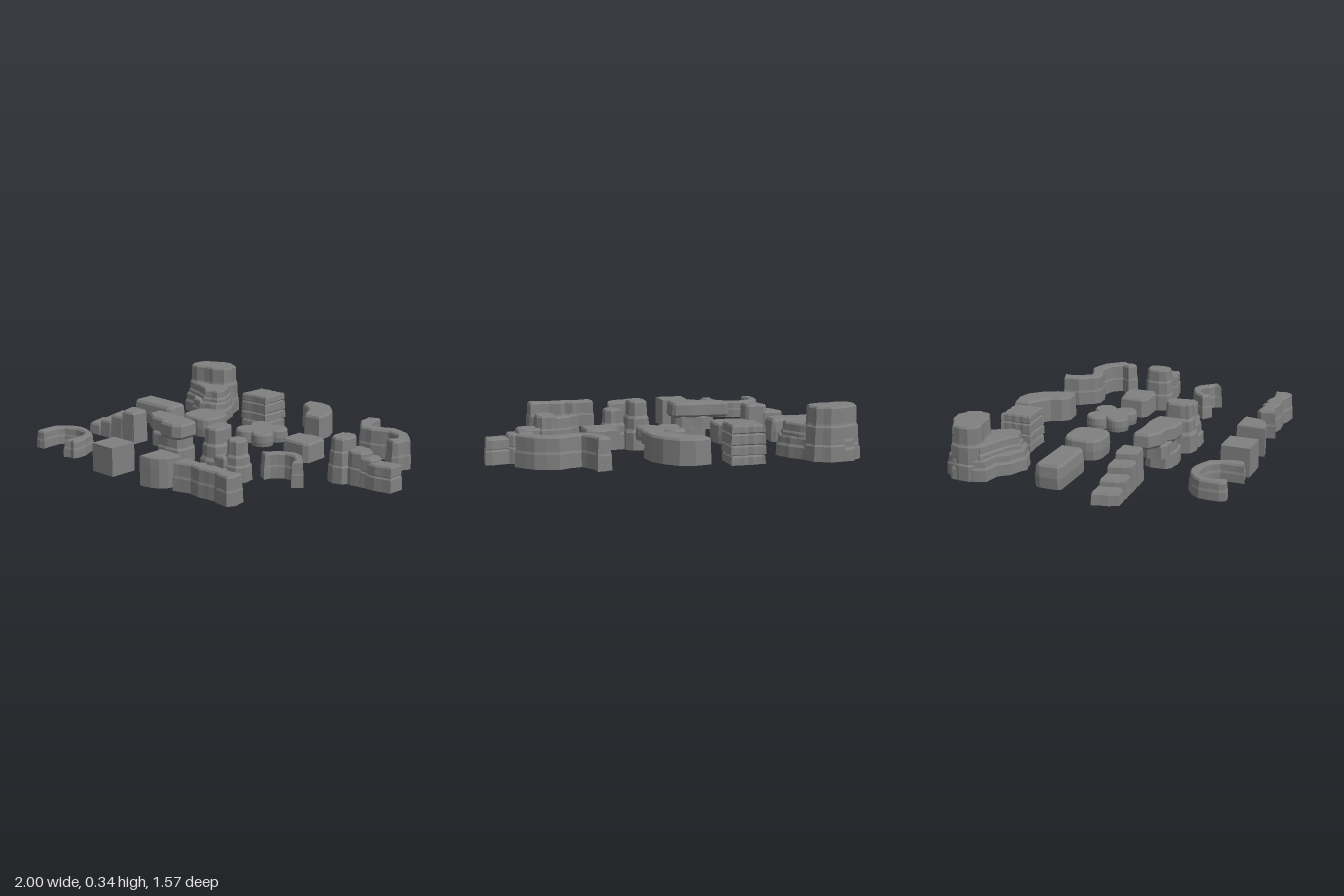
import * as THREE from 'three';

const material = new THREE.MeshStandardMaterial({ color: 0x808080, flatShading: true });

// Small seeded noise, 0..1
let seed = 7;
const rnd = () => (seed = (seed * 16807) % 2147483647) / 2147483647;

// Outline helpers: every outline is a list of [x, z]
const box = (x0, x1, z0, z1) => [[x0, z0], [x1, z0], [x1, z1], [x0, z1]];

const blob = (cx, cz, rx, rz, n = 12, power = 0.75, turn = 0.2) => {
  const bend = v => Math.sign(v) * Math.abs(v) ** power;
  return Array.from({ length: n }, (_, i) => {
    const a = (i / n) * Math.PI * 2 + turn;
    return [cx + rx * bend(Math.cos(a)), cz + rz * bend(Math.sin(a))];
  });
};

// Strip of constant half-width along a curved centre line
const ribbon = (line, half, n = 14) => {
  const curve = new THREE.CatmullRomCurve3(line.map(([x, z]) => new THREE.Vector3(x, 0, z)));
  const a = [], b = [];
  for (let i = 0; i <= n; i++) {
    const p = curve.getPointAt(i / n), t = curve.getTangentAt(i / n);
    a.push([p.x + t.z * half, p.z - t.x * half]);
    b.unshift([p.x - t.z * half, p.z + t.x * half]);
  }
  return [...a, ...b];
};

// Split the edges and push some points inward to make upright ribs
const roughen = (pts, step, depth) => {
  const out = [];
  pts.forEach(([x, z], i) => {
    const [x2, z2] = pts[(i + 1) % pts.length];
    const n = Math.max(1, Math.round(Math.hypot(x2 - x, z2 - z) / step));
    for (let k = 0; k < n; k++) out.push([x + (x2 - x) * k / n, z + (z2 - z) * k / n]);
  });
  return inset(out, out.map(() => depth * rnd()));
};

function inset(pts, amounts) {
  const n = pts.length;
  return pts.map(([x, z], i) => {
    const p = pts[(i + n - 1) % n], q = pts[(i + 1) % n];
    const tx = q[0] - p[0], tz = q[1] - p[1], l = Math.hypot(tx, tz) || 1;
    return [x - tz / l * amounts[i], z + tx / l * amounts[i]];
  });
}

// Rock lofted through a profile of [y, inset] rings, closed top and bottom
function rock(name, outline, profile, depth = 0.008, step = 0.04) {
  const toV = pts => pts.map(([x, z]) => new THREE.Vector2(x, z));
  let pts = outline;
  if (THREE.ShapeUtils.area(toV(pts)) < 0) pts = [...pts].reverse();
  if (depth) pts = roughen(pts, step, depth);
  const rings = profile.map(([y, d]) => inset(pts, pts.map(() => d)).map(([x, z]) => [x, y, z]));
  const pos = [], n = pts.length;
  for (let r = 0; r < rings.length - 1; r++) {
    for (let i = 0; i < n; i++) {
      const j = (i + 1) % n, lo = rings[r], hi = rings[r + 1];
      pos.push(...lo[i], ...hi[i], ...hi[j], ...lo[i], ...hi[j], ...lo[j]);
    }
  }
  for (const [ring, up] of [[rings[0], false], [rings[rings.length - 1], true]]) {
    const flat = ring.map(p => new THREE.Vector2(p[0], p[2]));
    for (const [a, b, c] of THREE.ShapeUtils.triangulateShape(flat, [])) {
      const s = THREE.ShapeUtils.area([flat[a], flat[b], flat[c]]) > 0;
      pos.push(...ring[a], ...(s === up ? ring[c] : ring[b]), ...(s === up ? ring[b] : ring[c]));
    }
  }
  const geo = new THREE.BufferGeometry();
  geo.setAttribute('position', new THREE.Float32BufferAttribute(pos, 3));
  geo.computeVertexNormals();
  const mesh = new THREE.Mesh(geo, material);
  mesh.name = name;
  return mesh;
}

// Profiles: a tapered block, a wall with one soft set-back, and stacked ledges
const block = (y0, y1, taper = 0.008) => [[y0, 0], [y1 - 0.012, taper], [y1, taper + 0.008]];
const wall = (y0, y1) => {
  const mid = y0 + (y1 - y0) * 0.45;
  return [[y0, 0], [mid, 0.001], [mid + 0.012, 0.005], [y1 - 0.01, 0.007], [y1, 0.014]];
};
const ledges = (...levels) => levels.flatMap(([y0, y1, d]) => [[y0, d], [y1 - 0.01, d + 0.002], [y1, d + 0.008]]);

export function createModel() {
  seed = 7;
  const model = new THREE.Group();
  model.name = 'rockSet';
  const set = (name, ...rocks) => {
    const g = new THREE.Group();
    g.name = name;
    g.add(...rocks);
    model.add(g);
  };

  // Back row: mesa, banded cube, bend and winding wall
  set('mesa',
    rock('mesaBase', [[-0.945, -0.7], [-0.88, -0.77], [-0.75, -0.79], [-0.66, -0.75], [-0.62, -0.66],
      [-0.57, -0.6], [-0.535, -0.5], [-0.56, -0.43], [-0.68, -0.39], [-0.78, -0.44], [-0.83, -0.49], [-0.92, -0.51], [-0.95, -0.58]],
    ledges([0.05, 0.12, 0], [0.125, 0.165, 0.01]), 0.01),
    rock('mesaTerrace', [[-0.92, -0.55], [-0.86, -0.68], [-0.64, -0.66], [-0.6, -0.6], [-0.56, -0.53], [-0.58, -0.46],
      [-0.67, -0.43], [-0.74, -0.48], [-0.86, -0.52]], ledges([0.1, 0.19, 0], [0.19, 0.235, 0.012])),
    rock('mesaTower', [[-0.95, -0.66], [-0.93, -0.72], [-0.86, -0.75], [-0.82, -0.78], [-0.74, -0.79], [-0.66, -0.75],
      [-0.63, -0.68], [-0.65, -0.6], [-0.73, -0.56], [-0.8, -0.56], [-0.85, -0.54], [-0.92, -0.55], [-0.95, -0.6]],
    ledges([0.05, 0.14, 0], [0.15, 0.24, 0.008], [0.25, 0.34, 0.018]), 0.006));
  set('bandedCube', rock('bands', box(-0.42, -0.22, -0.695, -0.505),
    ledges([0.04, 0.09, 0.004], [0.095, 0.145, 0], [0.15, 0.205, 0.003], [0.21, 0.25, 0.006]), 0.01, 0.024));
  set('curvedBlock', rock('bend', [[-0.09, -0.77], [0, -0.79], [0.08, -0.77], [0.15, -0.7], [0.19, -0.62],
    [0.2, -0.51], [0.1, -0.5], [0.06, -0.54], [0.04, -0.6], [-0.02, -0.65], [-0.08, -0.69]],
  block(0.07, 0.21, 0.004), 0));
  set('windingWall', rock('wall', ribbon([[0.45, -0.71], [0.475, -0.6], [0.53, -0.535], [0.6, -0.535], [0.66, -0.565],
    [0.73, -0.565], [0.8, -0.52], [0.835, -0.455], [0.79, -0.38]], 0.048, 13), wall(0.05, 0.22), 0.014, 0.05));

  // Second row: smooth boulders, clover slab and descending steps
  set('longBoulder', rock('boulder', [[-0.93, -0.2], [-0.915, -0.232], [-0.64, -0.228], [-0.615, -0.215],
    [-0.615, -0.105], [-0.64, -0.08], [-0.91, -0.08], [-0.93, -0.1]],
  [[0.07, 0.004], [0.13, 0], [0.185, 0.007], [0.2, 0.018]], 0));
  set('roundBoulder', rock('boulder', blob(-0.395, -0.17, 0.115, 0.112, 16, 0.62),
    [[0.08, 0.004], [0.13, 0], [0.18, 0.003], [0.19, 0.01]], 0));
  const clover = Array.from({ length: 48 }, (_, i) => {
    const a = i / 48 * Math.PI * 2, off = a % (Math.PI / 2) - Math.PI / 4;
    const r = 0.086 * Math.cos(off) + Math.sqrt(0.065 ** 2 - (0.086 * Math.sin(off)) ** 2);
    return [0.025 + r * Math.cos(a), -0.205 + r * Math.sin(a)];
  });
  set('cloverSlab', rock('slab', clover, [[0.105, 0.004], [0.13, 0], [0.168, 0.002], [0.178, 0.009]], 0));
  set('smallBoulder', rock('boulder', [[0.265, -0.25], [0.325, -0.252], [0.34, -0.27], [0.42, -0.27], [0.455, -0.25],
    [0.46, -0.11], [0.43, -0.09], [0.29, -0.092], [0.265, -0.12]], block(0.08, 0.19, 0.003), 0));
  set('descendingSteps',
    rock('tallStep', blob(0.664, -0.158, 0.076, 0.094, 9, 0.8),
      ledges([0.02, 0.12, 0], [0.13, 0.2, 0.008], [0.2, 0.27, 0.016]), 0.005),
    rock('middleStep', blob(0.755, -0.18, 0.085, 0.074, 9, 0.8), ledges([0.02, 0.12, 0], [0.125, 0.205, 0.007]), 0.005),
    rock('innerStep', blob(0.83, -0.18, 0.06, 0.065, 8, 0.7), ledges([0.02, 0.11, 0], [0.115, 0.18, 0.006]), 0.004),
    rock('lowStep', [[0.8, -0.23], [0.88, -0.23], [0.96, -0.25], [1, -0.24], [0.995, -0.14], [0.9, -0.12], [0.8, -0.12]],
      ledges([0.02, 0.1, 0], [0.105, 0.16, 0.006]), 0.004));

  // Third row: ascending steps, overhang, twin peaks and arc
  const steps = [0.115, 0.15, 0.195, 0.235].map((top, i) => {
    const x = -1 + i * 0.094, w = 0.14, s = i * 0.004;
    return rock('step' + (i + 1), [[x, 0.115 + s], [x + 0.03, 0.1 + s], [x + w - 0.02, 0.1 + s], [x + w, 0.13],
      [x + w - 0.003, 0.235], [x + w - 0.02, 0.25 - s], [x + 0.04, 0.255 - s], [x + 0.02, 0.2]],
    block(0.05, top, 0.006), 0.003);
  });
  set('ascendingSteps', ...steps);
  const cap = [[-0.48, 0.135], [-0.455, 0.12], [-0.34, 0.13], [-0.26, 0.125], [-0.16, 0.14], [-0.14, 0.16],
    [-0.14, 0.28], [-0.19, 0.31], [-0.29, 0.3], [-0.32, 0.265], [-0.4, 0.26], [-0.47, 0.215]];
  set('overhang',
    rock('overhangCap', cap, [[0.17, 0.012], [0.185, 0], [0.245, 0.003], [0.258, 0.012]], 0.004),
    rock('overhangNeck', blob(-0.28, 0.21, 0.13, 0.085, 10, 0.6), ledges([0.1, 0.18, 0])),
    rock('overhangFoot', blob(-0.25, 0.215, 0.11, 0.09, 10, 0.6), ledges([0.03, 0.115, 0])));
  set('twinPeaks',
    rock('tallPeak', blob(0.065, 0.195, 0.086, 0.107, 9, 0.75),
      ledges([0, 0.11, 0], [0.12, 0.19, 0.014], [0.195, 0.28, 0.026]), 0.005),
    rock('shortPeak', blob(0.21, 0.195, 0.08, 0.08, 8, 0.8),
      ledges([0.005, 0.1, 0], [0.1, 0.15, 0.012], [0.155, 0.235, 0.024]), 0.005),
    rock('saddle', blob(0.14, 0.235, 0.085, 0.07, 8), ledges([0.005, 0.08, 0], [0.08, 0.14, 0.016])));
  set('smallArc', rock('arc', ribbon([[0.425, 0.235], [0.46, 0.18], [0.51, 0.14], [0.55, 0.13], [0.59, 0.14],
    [0.635, 0.18], [0.675, 0.235]], 0.036, 8), wall(0.07, 0.21), 0.016, 0.05));

  // Front row: horseshoe, plain cube, quarter round and straight wall
  set('horseshoe', rock('ring', ribbon([[-0.79, 0.765], [-0.808, 0.68], [-0.775, 0.59], [-0.67, 0.55], [-0.575, 0.59],
    [-0.53, 0.68], [-0.525, 0.775]], 0.04, 13), wall(0.1, 0.198), 0.018, 0.05));
  set('plainCube', rock('cube', box(-0.36, -0.2, 0.58, 0.74), [[0.055, 0], [0.215, 0]], 0));
  const quarter = [[-0.01, 0.555], [0.145, 0.555], [0.143, 0.6], [0.132, 0.65], [0.105, 0.685], [0.06, 0.705], [-0.01, 0.717]];
  set('quarterRound', rock('quarter', quarter, [[0.045, 0.002], [0.15, 0], [0.205, 0.001], [0.212, 0.005]], 0));
  set('straightWall', rock('wall', [[0.22, 0.62], [0.24, 0.59], [0.33, 0.6], [0.36, 0.582], [0.4, 0.602], [0.43, 0.582],
    [0.5, 0.6], [0.55, 0.6], [0.62, 0.585], [0.635, 0.66], [0.61, 0.705], [0.53, 0.695], [0.5, 0.68], [0.4, 0.695],
    [0.33, 0.68], [0.23, 0.71]], wall(0.07, 0.225), 0.004));

  return model;
}
